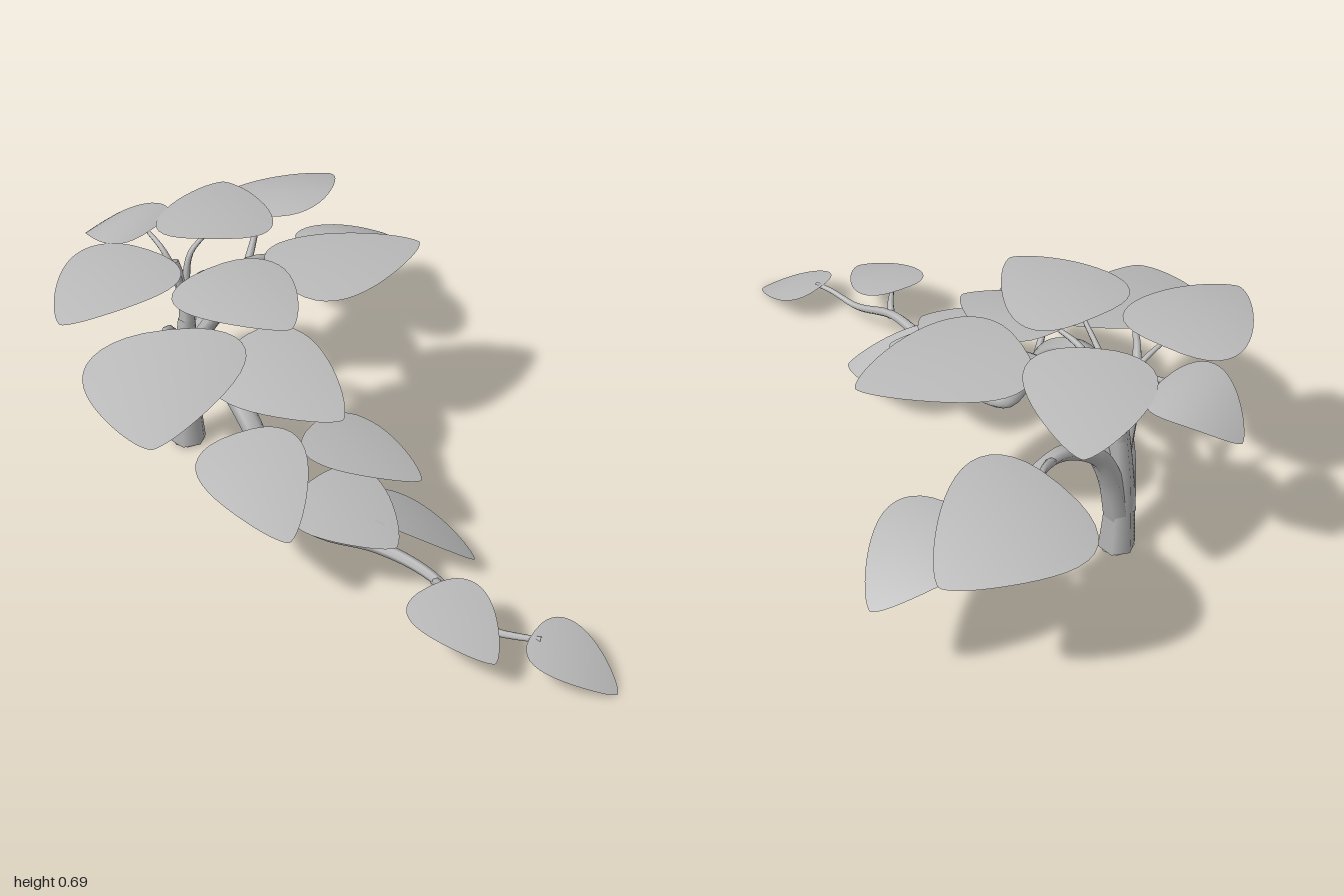
import * as THREE from 'three';

const bark = new THREE.MeshStandardMaterial({ color: 0xbbbbbb });
bark.name = 'pale grey';
bark.side = THREE.DoubleSide;

// Tapered six-sided tube through a few points
function limb(name, points, r0, r1, segments = 28) {
  const curve = new THREE.CatmullRomCurve3(points.map((p) => new THREE.Vector3(...p)));
  const sides = 6;
  const geo = new THREE.TubeGeometry(curve, segments, 1, sides);
  const pos = geo.attributes.position;
  const v = new THREE.Vector3();
  for (let i = 0; i < pos.count; i++) {
    const t = Math.floor(i / (sides + 1)) / segments;
    const c = curve.getPointAt(t);
    v.fromBufferAttribute(pos, i).sub(c).multiplyScalar(r0 + (r1 - r0) * t).add(c);
    pos.setXYZ(i, v.x, v.y, v.z);
  }
  const mesh = new THREE.Mesh(geo, bark);
  mesh.name = name;
  return mesh;
}

// Leaf blade: broad blunt base, narrowing to a rounded tip; skew slides one side forward
function leaf(name, base, tip, width, roll, arch, skew = 0) {
  const b = new THREE.Vector3(...base);
  const f = new THREE.Vector3(...tip).sub(b);
  const s = new THREE.Vector3(-f.z, 0, f.x).normalize();
  s.y = roll;
  const geo = new THREE.PlaneGeometry(2, 1, 10, 20);
  const pos = geo.attributes.position;
  const v = new THREE.Vector3();
  for (let i = 0; i < pos.count; i++) {
    const u = pos.getX(i);
    const t = (1 - Math.cos(Math.PI * (pos.getY(i) + 0.5))) / 2;
    const w = Math.pow(Math.max(0, Math.sin(Math.PI * Math.pow(t, 0.55))), 0.68);
    const side = u * w * width / 2;
    v.copy(b).addScaledVector(f, t + skew * u * w).addScaledVector(s, side);
    v.y += arch * 4 * t * (1 - t) - 0.4 * side * side;
    pos.setXYZ(i, v.x, v.y, v.z);
  }
  geo.computeVertexNormals();
  const mesh = new THREE.Mesh(geo, bark);
  mesh.name = name;
  return mesh;
}

export function createModel() {
  const model = new THREE.Group();
  model.name = 'cascadingPlant';

  // Trunk with a flat foot
  model.add(limb('trunk', [[-0.185, 0.015, -0.63], [-0.185, 0.12, -0.63], [-0.18, 0.26, -0.63], [-0.165, 0.44, -0.625]], 0.053, 0.025));
  const foot = new THREE.Mesh(new THREE.CircleGeometry(0.051, 8), bark);
  foot.name = 'trunkFoot';
  foot.rotation.x = Math.PI / 2;
  foot.position.set(-0.185, 0.015, -0.63);
  model.add(foot);

  // Main branches
  model.add(
    limb('cascadeBranch', [[-0.19, 0.14, -0.63], [-0.22, 0.34, -0.58], [-0.27, 0.44, -0.46], [-0.3, 0.455, -0.34],
      [-0.33, 0.36, -0.19], [-0.33, 0.2, -0.1], [-0.31, 0.1, -0.04], [-0.29, 0.082, 0.05], [-0.28, 0.13, 0.24],
      [-0.29, 0.152, 0.44], [-0.29, 0.085, 0.64], [-0.27, 0.1, 0.74], [-0.25, 0.108, 0.79]], 0.043, 0.008, 72),
    limb('sideBranch', [[-0.175, 0.14, -0.63], [-0.13, 0.29, -0.635], [-0.06, 0.41, -0.64], [0.08, 0.492, -0.645],
      [0.19, 0.475, -0.645], [0.31, 0.42, -0.63], [0.41, 0.435, -0.6]], 0.038, 0.009, 40),
    limb('crownBranch', [[-0.17, 0.3, -0.625], [-0.16, 0.5, -0.63], [-0.17, 0.62, -0.66]], 0.03, 0.016),
    limb('frontBranch', [[-0.165, 0.22, -0.62], [-0.14, 0.4, -0.58], [-0.1, 0.55, -0.46], [-0.04, 0.602, -0.39], [0.02, 0.616, -0.35]], 0.032, 0.008),
    limb('leftBranch', [[-0.18, 0.28, -0.62], [-0.26, 0.45, -0.58], [-0.35, 0.53, -0.5], [-0.42, 0.545, -0.42]], 0.028, 0.008)
  );

  // Leaf stalks, ending just under each leaf
  const stalks = [
    [[-0.16, 0.52, -0.63], [-0.17, 0.64, -0.7], [-0.165, 0.68, -0.78]],
    [[-0.16, 0.5, -0.63], [-0.13, 0.64, -0.63], [-0.07, 0.688, -0.62]],
    [[-0.16, 0.5, -0.63], [-0.2, 0.63, -0.64], [-0.29, 0.682, -0.65]],
    [[-0.16, 0.48, -0.63], [-0.16, 0.61, -0.56], [-0.2, 0.68, -0.43]],
    [[0.1, 0.485, -0.645], [0.19, 0.535, -0.7], [0.27, 0.56, -0.76]],
    [[-0.28, 0.45, -0.42], [-0.28, 0.495, -0.35], [-0.265, 0.522, -0.26]],
    [[-0.33, 0.3, -0.14], [-0.37, 0.36, -0.12], [-0.43, 0.387, -0.09]],
    [[-0.33, 0.2, -0.1], [-0.28, 0.29, -0.08], [-0.2, 0.322, -0.02]],
    [[-0.33, 0.18, -0.09], [-0.33, 0.24, -0.03], [-0.33, 0.262, 0.07]],
    [[-0.29, 0.1, 0.12], [-0.26, 0.16, 0.14], [-0.21, 0.19, 0.17]],
    [[-0.29, 0.14, 0.46], [-0.31, 0.16, 0.49], [-0.35, 0.178, 0.53]]
  ];
  stalks.forEach((p, i) => model.add(limb(`leafStalk${i + 1}`, p, 0.014, 0.006, 12)));

  // Leaves: base, tip, width, sideways roll, lengthwise arch, skew
  const leaves = [
    [[-0.16, 0.68, -0.76], [-0.2, 0.6, -1], 0.27, 0, 0.04],
    [[0.22, 0.565, -0.79], [0.65, 0.52, -0.83], 0.38, 0.22, 0.025],
    [[-0.1, 0.7, -0.57], [0.2, 0.665, -0.84], 0.34, 0, 0.01],
    [[-0.25, 0.69, -0.67], [-0.64, 0.655, -0.59], 0.34, 0, 0.015],
    [[-0.37, 0.57, -0.46], [-0.7, 0.48, -0.17], 0.44, 0, 0.01, 0.08],
    [[-0.04, 0.63, -0.37], [0.4, 0.615, -0.22], 0.37, 0, 0.01],
    [[-0.21, 0.69, -0.47], [-0.25, 0.67, -0.1], 0.35, 0, 0.01],
    [[-0.27, 0.54, -0.31], [-0.24, 0.455, 0.08], 0.34, -0.12, 0.01],
    [[-0.43, 0.405, -0.14], [-0.57, 0.295, 0.2], 0.3, -0.08, 0.02],
    [[-0.2, 0.34, -0.08], [-0.1, 0.255, 0.24], 0.29, 0.12, 0.01],
    [[-0.21, 0.21, 0.12], [-0.09, 0.075, 0.43], 0.25, 0.4, 0.02],
    [[-0.33, 0.28, 0.04], [-0.31, 0.2, 0.34], 0.31, 0, 0.01],
    [[-0.36, 0.19, 0.5], [-0.41, 0.12, 0.77], 0.23, 0, 0.015],
    [[-0.24, 0.115, 0.76], [-0.19, 0.01, 1], 0.21, 0, 0.015],
    [[0.37, 0.44, -0.59], [0.71, 0.345, -0.65], 0.3, 0, 0.03]
  ];
  leaves.forEach((l, i) => model.add(leaf(`leaf${i + 1}`, ...l)));
  return model;
}
